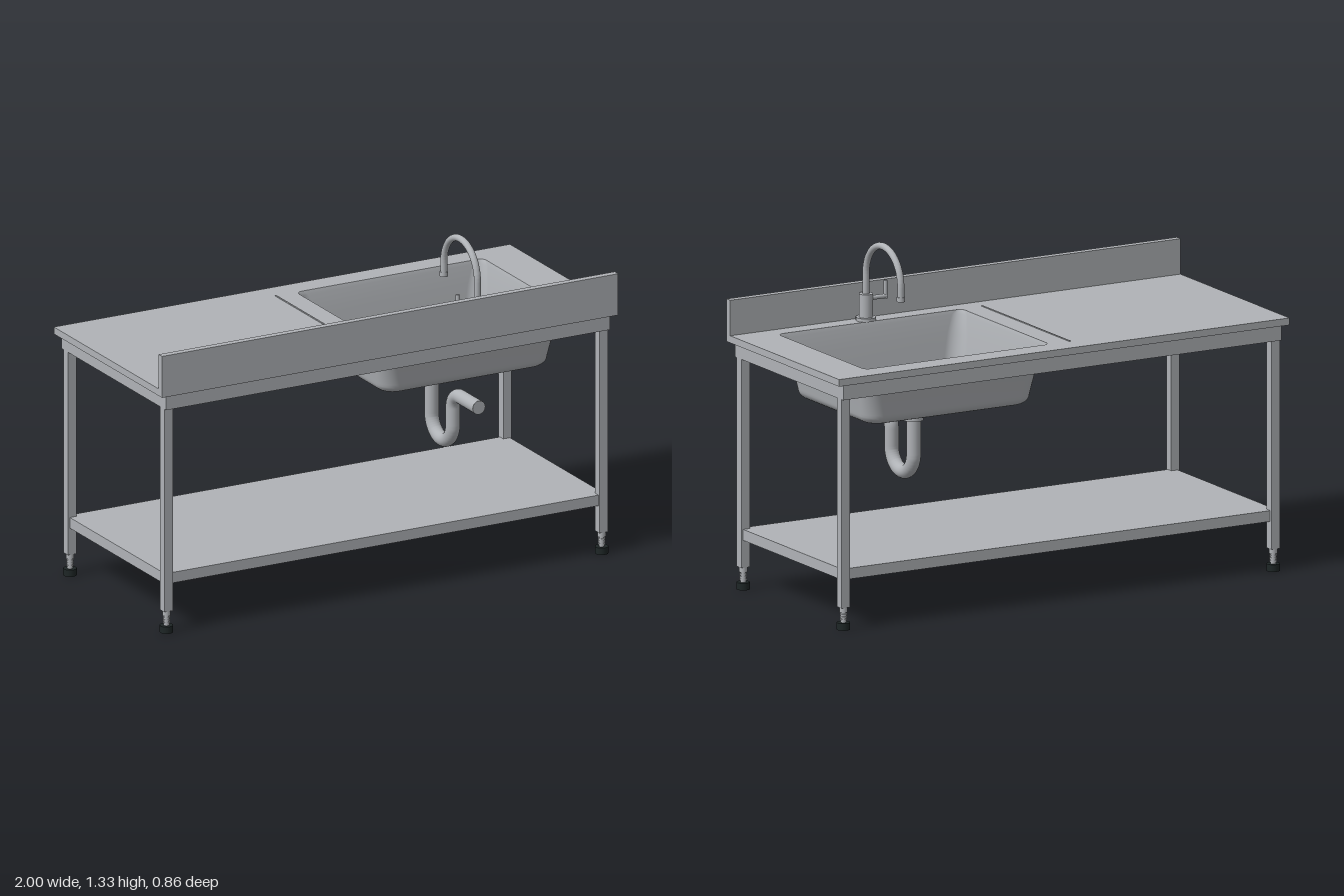
import * as THREE from 'three';

const steel = new THREE.MeshStandardMaterial({ color: 0xb0b3b7 });
steel.name = 'steel';
const sheet = new THREE.MeshStandardMaterial({ color: 0xb0b3b7, side: THREE.DoubleSide });
sheet.name = 'steel sheet';
const rubber = new THREE.MeshStandardMaterial({ color: 0x1e2626 });
rubber.name = 'dark rubber';

const SINK_X = 0.42;

function add(parent, name, geometry, material, x = 0, y = 0, z = 0) {
  const mesh = new THREE.Mesh(geometry, material);
  mesh.name = name;
  mesh.position.set(x, y, z);
  parent.add(mesh);
  return mesh;
}

// Box given by its low and high corners
function block(parent, name, [x0, y0, z0], [x1, y1, z1], material = steel) {
  return add(parent, name, new THREE.BoxGeometry(x1 - x0, y1 - y0, z1 - z0), material,
    (x0 + x1) / 2, (y0 + y1) / 2, (z0 + z1) / 2);
}

// Upright cylinder from y0 to y1
function post(parent, name, r, y0, y1, x, z, material = steel, sides = 24) {
  return add(parent, name, new THREE.CylinderGeometry(r, r, y1 - y0, sides), material, x, (y0 + y1) / 2, z);
}

// Outline of a rounded rectangle, centred on the origin
function roundedRect(hx, hz, r, steps = 6) {
  const points = [];
  for (let c = 0; c < 4; c++) {
    const sx = c === 0 || c === 3 ? 1 : -1, sz = c < 2 ? 1 : -1;
    for (let i = 0; i <= steps; i++) {
      const a = (c + i / steps) * Math.PI / 2;
      points.push(new THREE.Vector2(sx * (hx - r) + r * Math.cos(a), sz * (hz - r) + r * Math.sin(a)));
    }
  }
  return points;
}

// Basin surface lofted through rounded rectangles [y, half x, half z, corner radius]
function basinGeometry() {
  const sections = [[1.0, 0.41, 0.333, 0.025], [0.985, 0.405, 0.328, 0.045], [0.91, 0.39, 0.313, 0.06]];
  for (let i = 0; i <= 6; i++) {
    const a = i / 6 * Math.PI / 2, inset = 0.04 * (1 - Math.cos(a));
    sections.push([0.798 - 0.04 * Math.sin(a), 0.37 - inset, 0.296 - inset, 0.065 - inset * 0.5]);
  }
  sections.push([0.757, 0.31, 0.236, 0.045], [0.75, 0.028, 0.028, 0.028]);
  const pos = [], index = [];
  let n = 0;
  sections.forEach(([y, hx, hz, r], s) => {
    const ring = roundedRect(hx, hz, r);
    n = ring.length;
    ring.forEach(p => pos.push(p.x, y, p.y));
    if (s === 0) return;
    for (let i = 0; i < n; i++) {
      const j = (i + 1) % n, a = (s - 1) * n, b = s * n;
      index.push(a + i, b + i, a + j, a + j, b + i, b + j);
    }
  });
  const g = new THREE.BufferGeometry();
  g.setAttribute('position', new THREE.Float32BufferAttribute(pos, 3));
  g.setIndex(index);
  g.computeVertexNormals();
  return g;
}

// Path in the plane x = SINK_X, made of straight runs and arcs given in (z, y)
function arc(cz, cy, r, from, to, steps = 16) {
  return Array.from({ length: steps + 1 }, (_, i) => {
    const a = from + (to - from) * i / steps;
    return [cz + r * Math.cos(a), cy + r * Math.sin(a)];
  });
}
function pipe(parent, name, points, r) {
  const path = new THREE.CurvePath();
  const pts = points.map(([z, y]) => new THREE.Vector3(SINK_X, y, z));
  for (let i = 1; i < pts.length; i++) path.add(new THREE.LineCurve3(pts[i - 1], pts[i]));
  return add(parent, name, new THREE.TubeGeometry(path, 120, r, 20), sheet);
}

export function createModel() {
  const model = new THREE.Group();
  model.name = 'sinkTable';
  const PI = Math.PI;

  // Worktop with the basin cut-out
  const top = new THREE.Shape([[-1, -0.427], [1, -0.427], [1, 0.427], [-1, 0.427]].map(p => new THREE.Vector2(...p)));
  top.holes.push(new THREE.Path(roundedRect(0.41, 0.333, 0.025).map(p => p.add(new THREE.Vector2(SINK_X, 0)))));
  const topGeometry = new THREE.ExtrudeGeometry(top, { depth: 0.028, bevelEnabled: false });
  topGeometry.rotateX(-PI / 2);
  add(model, 'worktop', topGeometry, steel, 0, 0.972, 0);
  block(model, 'splashback', [-1, 0.972, 0.402], [1, 1.14, 0.43]);
  block(model, 'drainerRidge', [-0.082, 1, -0.335], [-0.076, 1.003, 0.335]);

  // Rails under the worktop
  for (const s of [-1, 1]) {
    const long = block(model, 'longRail', [-0.973, 0.912, -0.019], [0.973, 0.972, 0.019]);
    long.position.z = s * 0.394;
    const end = block(model, 'endRail', [-0.019, 0.912, -0.375], [0.019, 0.972, 0.375]);
    end.position.x = s * 0.954;
  }

  // Legs with adjustable feet
  for (const sx of [-1, 1]) for (const sz of [-1, 1]) {
    const leg = new THREE.Group();
    leg.name = 'leg';
    leg.position.set(sx * 0.954, 0, sz * 0.3815);
    block(leg, 'legTube', [-0.0185, 0.088, -0.0185], [0.0185, 0.912, 0.0185]);
    post(leg, 'legPlug', 0.016, 0.068, 0.088, 0, 0);
    post(leg, 'threadedStem', 0.011, 0.025, 0.07, 0, 0);
    for (const y of [0.036, 0.046, 0.056]) post(leg, 'thread', 0.014, y, y + 0.006, 0, 0);
    post(leg, 'foot', 0.026, 0, 0.028, 0, 0, rubber);
    model.add(leg);
  }

  // Lower shelf: folded tray
  block(model, 'shelf', [-0.965, 0.228, -0.39], [0.965, 0.24, 0.39]);
  for (const s of [-1, 1]) {
    block(model, 'shelfLongLip', [-0.965, 0.197, -0.006], [0.965, 0.228, 0.006]).position.z = s * 0.384;
    block(model, 'shelfEndLip', [-0.006, 0.197, -0.378], [0.006, 0.228, 0.378]).position.x = s * 0.959;
  }

  // Basin and strainer
  add(model, 'basin', basinGeometry(), sheet, SINK_X, 0, 0);
  post(model, 'drainCup', 0.028, 0.744, 0.752, SINK_X, 0, rubber);
  const rim = add(model, 'drainRim', new THREE.TorusGeometry(0.026, 0.004, 8, 28), rubber, SINK_X, 0.754, 0);
  rim.rotation.x = PI / 2;
  post(model, 'drainScrew', 0.01, 0.752, 0.756, SINK_X, 0);

  // Drain coupling and trap
  const nuts = [[0.042, 0.735, 0.75], [0.034, 0.722, 0.735], [0.04, 0.708, 0.722], [0.034, 0.7, 0.708], [0.038, 0.682, 0.7]];
  nuts.forEach(([r, y0, y1]) => post(model, 'drainCoupling', r, y0, y1, SINK_X, 0));
  pipe(model, 'trapPipe', [[0, 0.7], ...arc(0.084, 0.547, 0.084, PI, 2 * PI, 24).map(([z, y]) => [z, y]),
    ...arc(0.228, 0.617, 0.06, PI, PI / 2), [0.375, 0.677]], 0.028);
  const cap = add(model, 'pipeEnd', new THREE.CircleGeometry(0.028, 20), steel, SINK_X, 0.677, 0.375);
  cap.scale.setScalar(0.99);

  // Tap
  const tapZ = 0.363;
  post(model, 'tapBase', 0.039, 1, 1.013, SINK_X, tapZ);
  post(model, 'tapBody', 0.027, 1.013, 1.105, SINK_X, tapZ);
  pipe(model, 'spout', [[tapZ, 1.1], ...arc(0.23, 1.185, 0.133, 0, PI, 28), [0.097, 1.132]], 0.0135);
  post(model, 'spoutTip', 0.016, 1.128, 1.146, SINK_X, 0.097);
  const arm = add(model, 'leverArm', new THREE.CylinderGeometry(0.009, 0.009, 0.08, 16), steel, 0.37, 1.085, tapZ);
  arm.rotation.z = PI / 2;
  post(model, 'lever', 0.008, 1.075, 1.147, 0.333, tapZ, steel, 16);

  return model;
}
